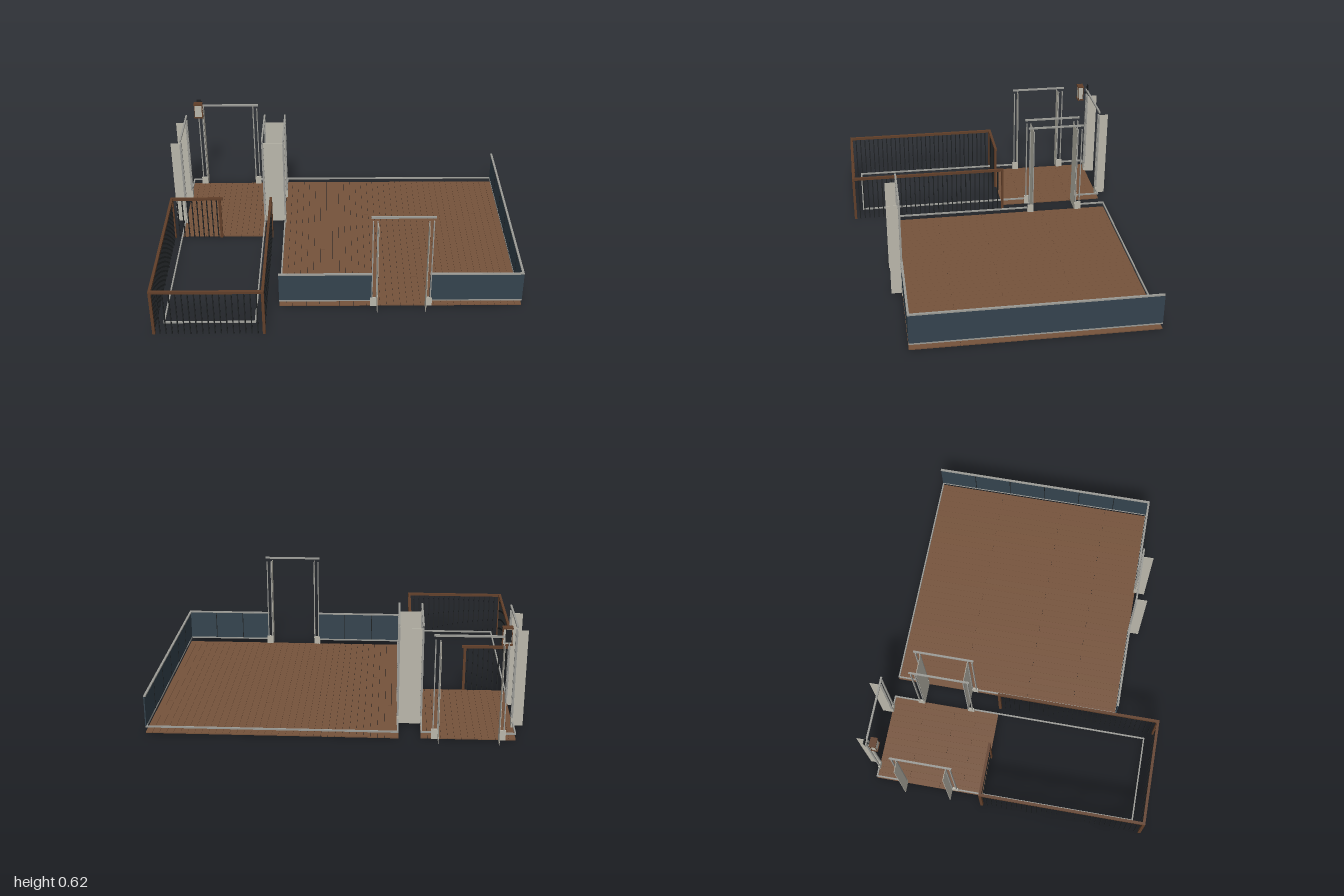
import * as THREE from 'three';

const mat = (name, color, side = THREE.FrontSide) => {
  const m = new THREE.MeshStandardMaterial({ color, side });
  m.name = name;
  return m;
};

export function createModel() {
  const wood = mat('deck wood', 0x76533b);
  const railWood = mat('rail wood', 0x613f29);
  const navy = mat('navy panel', 0x34434e);
  const plaster = mat('plaster', 0xbab7ab);
  const trim = mat('grey trim', 0x9b9b96);
  const iron = mat('dark iron', 0x1d2022);

  const root = new THREE.Group();
  root.name = 'houseFittings';
  const group = (name, parent = root) => {
    const g = new THREE.Group();
    g.name = name;
    parent.add(g);
    return g;
  };
  // Box given by its limits on each axis
  const box = (parent, name, m, x0, x1, y0, y1, z0, z1) => {
    const b = new THREE.Mesh(new THREE.BoxGeometry(x1 - x0, y1 - y0, z1 - z0), m);
    b.position.set((x0 + x1) / 2, (y0 + y1) / 2, (z0 + z1) / 2);
    b.name = name;
    parent.add(b);
  };

  // Plank floors with staggered end joints
  function plankFloor(name, x0, x1, z0, z1, count) {
    const g = group(name);
    const w = (x1 - x0) / count, gap = 0.0005;
    for (let i = 0; i < count; i++) {
      const a = x0 + i * w + gap, b = x0 + (i + 1) * w - gap;
      const joint = z0 + (z1 - z0) * [0.59, 0.3, 0.8][i % 3];
      box(g, 'plank', wood, a, b, 0, 0.006, z0, joint - gap);
      box(g, 'plank', wood, a, b, 0, 0.006, joint + gap, z1);
    }
  }
  plankFloor('mainFloor', -0.335, 1, -0.755, 0.565, 36);
  plankFloor('entryFloor', -0.945, -0.45, -0.75, -0.125, 14);

  // Skirting rails along the walls, interrupted at the doorways
  const skirting = group('skirting');
  const alongX = (z, x0, x1) => box(skirting, 'skirtingRail', trim, x0, x1, 0.032, 0.041, z - 0.004, z + 0.004);
  const alongZ = (x, z0, z1) => box(skirting, 'skirtingRail', trim, x - 0.004, x + 0.004, 0.032, 0.041, z0, z1);
  alongX(-0.751, -0.335, 1);
  alongX(0.561, -0.335, 0.165);
  alongX(0.561, 0.505, 1);
  alongZ(0.996, -0.755, 0.565);
  alongZ(-0.331, -0.755, -0.607);
  alongZ(-0.331, -0.267, 0.565);
  for (const x of [-0.941, -0.454]) {
    alongZ(x, -0.75, -0.607);
    alongZ(x, -0.267, 0.75);
  }
  alongX(-0.746, -0.945, -0.892);
  alongX(-0.746, -0.503, -0.45);
  alongX(0.746, -0.945, -0.45);

  // Navy wainscot with a grey cap and slim joints on the inner face
  const wainscot = group('wainscot');
  for (const [x0, x1] of [[-0.335, 0.178], [0.49, 1]]) {
    box(wainscot, 'frontPanel', navy, x0, x1, 0.041, 0.207, 0.559, 0.565);
    box(wainscot, 'frontCap', trim, x0, x1, 0.207, 0.215, 0.555, 0.567);
    for (const t of [1 / 3, 2 / 3]) {
      const x = x0 + (x1 - x0) * t;
      box(wainscot, 'panelJoint', iron, x - 0.002, x + 0.002, 0.041, 0.207, 0.5575, 0.56);
    }
  }
  box(wainscot, 'sidePanel', navy, 0.994, 1, 0.041, 0.207, -0.755, 0.565);
  box(wainscot, 'sideCap', trim, 0.988, 1, 0.207, 0.215, -0.755, 0.565);
  for (let i = 1; i < 6; i++) {
    const z = -0.755 + i * 0.22;
    box(wainscot, 'panelJoint', iron, 0.9925, 0.995, 0.041, 0.207, z - 0.002, z + 0.002);
  }

  // Doorway: local x runs along the wall, local z goes through it
  function doorway(name, x, z, turn, half, depth, bothSides = false) {
    const g = group(name);
    g.position.set(x, 0, z);
    g.rotation.y = turn;
    for (const s of [-1, 1]) {
      const u = s * half;
      box(g, 'reveal', plaster, u - 0.0015, u + 0.0015, 0, 0.545, 0, depth);
    }
    const faces = bothSides ? [[-0.01, 0], [depth, depth + 0.01]] : [[-0.01, 0]];
    for (const [z0, z1] of faces) {
      for (const s of [-1, 1]) {
        const mid = s * (half + 0.018);
        box(g, 'plinthBlock', plaster, mid - 0.019, mid + 0.019, 0, 0.055, z0, z1);
        for (const off of [0.003, 0.027]) {
          const u = s * (half + off);
          box(g, 'casingStrip', trim, u - 0.003, u + 0.003, 0.055, 0.552, z0, z1);
        }
      }
      box(g, 'headRail', trim, -half - 0.037, half + 0.037, 0.572, 0.582, z0, z1);
    }
  }
  doorway('frontDoorway', 0.335, 0.567, 0, 0.133, 0.057);
  doorway('backDoorway', -0.6975, -0.751, Math.PI, 0.157, 0.057);
  doorway('sideDoorway', -0.943, -0.4375, -Math.PI / 2, 0.132, 0.057);
  doorway('innerDoorway', -0.45, -0.4375, Math.PI / 2, 0.132, 0.115, true);

  // Railing: handrail, end posts and balusters between two points
  const railing = group('railing');
  const h = 0.0075;
  function railRun(ax, az, bx, bz, spaces) {
    box(railing, 'handrail', railWood, Math.min(ax, bx) - h, Math.max(ax, bx) + h,
      0.265, 0.28, Math.min(az, bz) - h, Math.max(az, bz) + h);
    for (let i = 1; i < spaces; i++) {
      const x = ax + (bx - ax) * i / spaces, z = az + (bz - az) * i / spaces;
      box(railing, 'baluster', iron, x - 0.003, x + 0.003, 0, 0.265, z - 0.003, z + 0.003);
    }
  }
  railRun(-0.7, -0.12, -0.992, -0.12, 10);
  railRun(-0.992, -0.12, -0.992, 0.797, 32);
  railRun(-0.992, 0.797, -0.405, 0.797, 18);
  railRun(-0.405, 0.797, -0.405, -0.12, 32);
  for (const [x, z] of [[-0.71, -0.12], [-0.992, -0.12], [-0.992, 0.797], [-0.405, 0.797], [-0.405, -0.12]])
    box(railing, 'railPost', railWood, x - h, x + h, 0, 0.265, z - h, z + h);

  // Wall lantern beside the back doorway
  const lantern = group('wallLantern');
  box(lantern, 'lanternGlass', plaster, -0.897, -0.853, 0.526, 0.606, -0.716, -0.687);
  for (const y of [0.518, 0.606])
    box(lantern, 'lanternCap', railWood, -0.902, -0.848, y, y + 0.008, -0.72, -0.683);
  for (const x of [-0.899, -0.853])
    for (const z of [-0.718, -0.689])
      box(lantern, 'lanternBar', railWood, x, x + 0.003, 0.526, 0.606, z, z + 0.003);
  box(lantern, 'lanternArm', iron, -0.88, -0.87, 0.557, 0.567, -0.75, -0.716);
  box(lantern, 'wallPlate', iron, -0.89, -0.86, 0.55, 0.615, -0.754, -0.748);

  return root;
}
